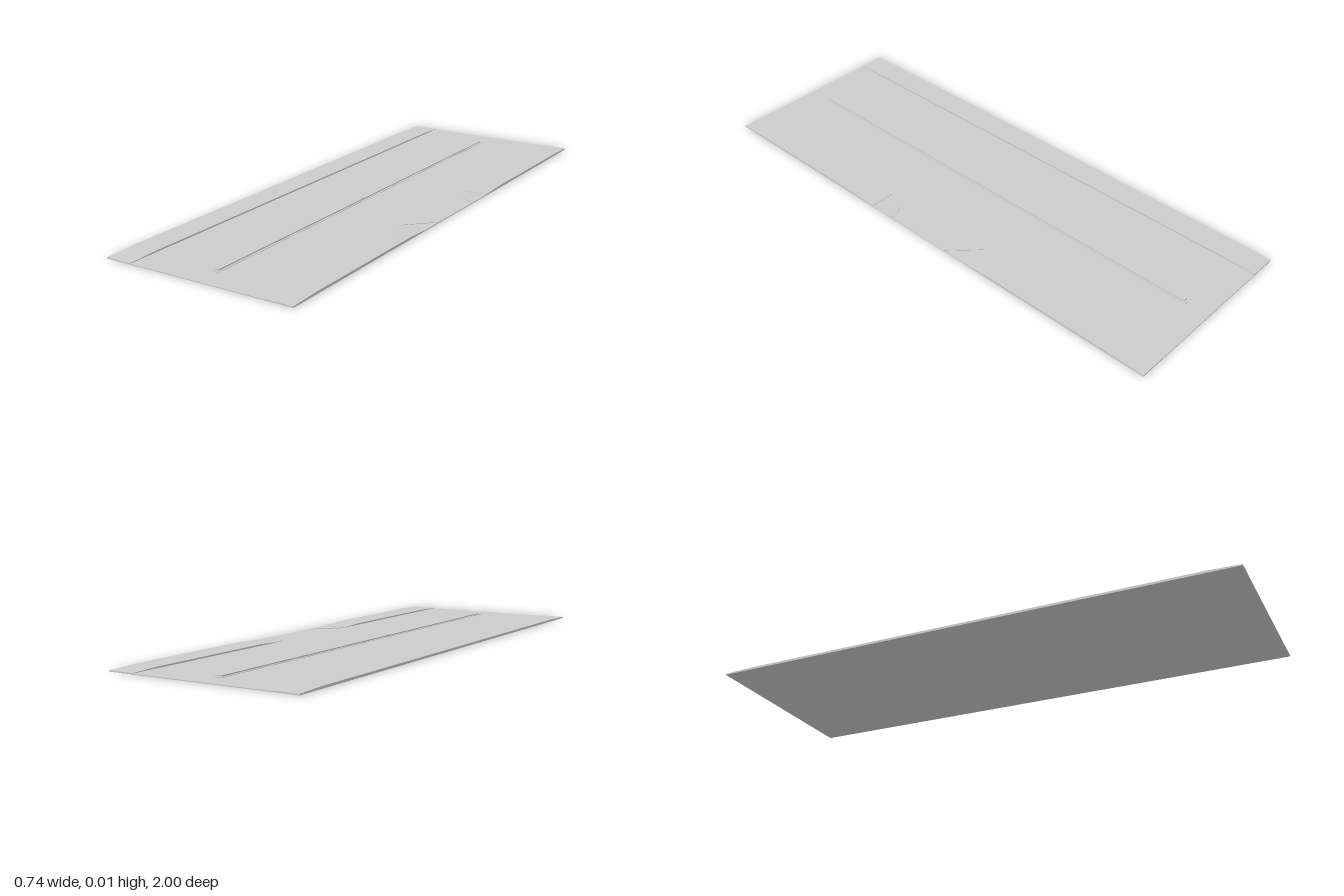
import * as THREE from 'three';

const HALF_W = 0.368, WALK = 0.1;        // half road width, sidewalk width
const ROAD = 0.003, LOW = 0.0045, TOP = 0.0085; // surface heights

const material = new THREE.MeshStandardMaterial({ color: 0xcccccc });

function add(parent, name, geometry) {
  const mesh = new THREE.Mesh(geometry, material);
  mesh.name = name;
  parent.add(mesh);
  return mesh;
}

// Extrudes a side profile of [z, y] points across x, ending at xMax
function acrossX(points, width, xMax) {
  const shape = new THREE.Shape(points.map(([z, y]) => new THREE.Vector2(z, y)));
  const g = new THREE.ExtrudeGeometry(shape, { depth: width, bevelEnabled: false });
  return g.rotateY(-Math.PI / 2).translate(xMax, 0, 0);
}

// Sidewalk from z0 to z1, ramping down to the low kerb at both ends
function sidewalkProfile(z0, rampEnd0, rampEnd1, z1) {
  return [[z0, ROAD], [z1, ROAD], [z1, LOW], [rampEnd1, TOP], [rampEnd0, TOP], [z0, LOW]];
}

export function createModel() {
  const model = new THREE.Group();
  model.name = 'roadJunction';

  // Road slab
  add(model, 'road', new THREE.BoxGeometry(2 * HALF_W, ROAD, 2).translate(0, ROAD / 2, 0));

  // Unbroken sidewalk on the right
  add(model, 'rightSidewalk',
    acrossX(sidewalkProfile(-1, -0.88, 0.88, 1), WALK, -HALF_W + WALK));

  // Left sidewalk, interrupted by the mouth of a side road with rounded corners
  const left = new THREE.Group();
  left.name = 'leftSidewalk';
  model.add(left);
  const cornerZ = 0.235;
  for (const s of [1, -1]) {
    const profile = s > 0
      ? sidewalkProfile(cornerZ, 0.34, 0.88, 1)
      : sidewalkProfile(-1, -0.88, -0.34, -cornerZ);
    add(left, s > 0 ? 'frontSidewalk' : 'backSidewalk', acrossX(profile, WALK, HALF_W));

    // Low quarter-round corner
    const shape = new THREE.Shape();
    shape.moveTo(0, 0);
    if (s > 0) shape.absarc(0, 0, WALK, Math.PI / 2, Math.PI, false);
    else shape.absarc(0, 0, WALK, Math.PI, Math.PI * 1.5, false);
    shape.closePath();
    const corner = new THREE.ExtrudeGeometry(shape,
      { depth: LOW - ROAD, bevelEnabled: false, curveSegments: 10 });
    corner.rotateX(-Math.PI / 2).translate(HALF_W, ROAD, s * cornerZ);
    add(left, s > 0 ? 'frontCorner' : 'backCorner', corner);
  }

  // Raised median on a wider low base
  const median = new THREE.Group();
  median.name = 'median';
  model.add(median);
  add(median, 'medianBase',
    new THREE.BoxGeometry(0.034, LOW - ROAD, 1.82).translate(0, (LOW + ROAD) / 2, 0));
  add(median, 'medianKerb',
    new THREE.BoxGeometry(0.018, TOP - LOW, 1.8).translate(0, (TOP + LOW) / 2, 0));

  return model;
}
